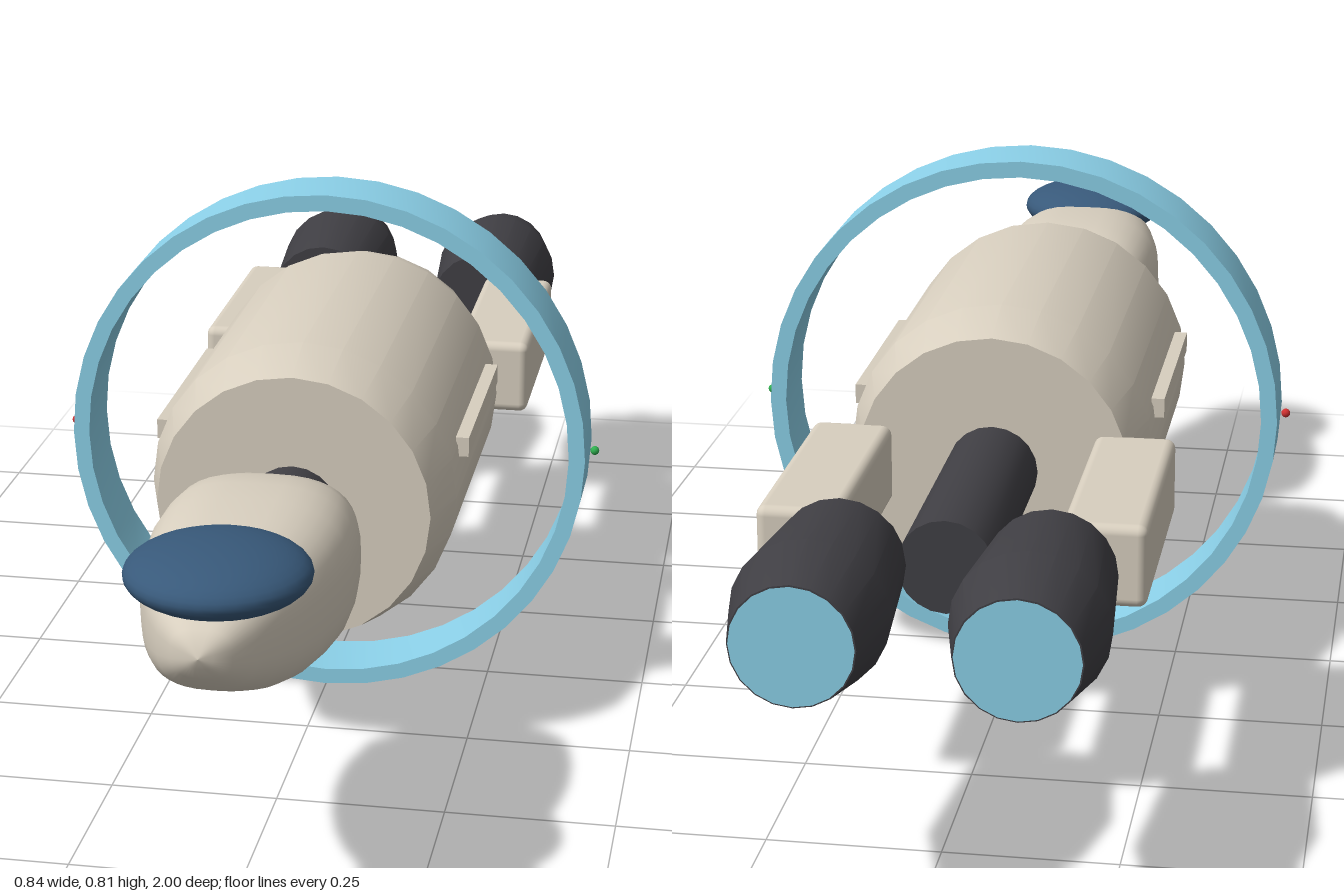
import * as THREE from 'three';
import { toCreasedNormals } from 'three/addons/utils/BufferGeometryUtils.js';
import { RoundedBoxGeometry } from 'three/addons/geometries/RoundedBoxGeometry.js';

const AXIS = 0.408; // height of the ship's long axis

const paint = (color) => new THREE.MeshStandardMaterial({ color });
const hull = paint(0xd8cfbf);
const dark = paint(0x403f44);
const glow = paint(0x8bd0e8);
const glass = paint(0x38597a);
const red = paint(0xd03030);
const green = paint(0x30b050);

function add(parent, name, geometry, material, x = 0, y = AXIS, z = 0) {
  const mesh = new THREE.Mesh(geometry, material);
  mesh.name = name;
  mesh.position.set(x, y, z);
  parent.add(mesh);
  return mesh;
}

// Profile of [radius, z] pairs, from back to front, turned around the z axis
function turned(profile, sides) {
  const points = profile.map(([r, z]) => new THREE.Vector2(r, z));
  const geometry = new THREE.LatheGeometry(points, sides).rotateX(Math.PI / 2);
  return toCreasedNormals(geometry, 0.35);
}

// Rounded-square sections [z, bottom, top, halfWidth], from back to front
function cockpitGeometry() {
  const sections = [
    [0.483, 0.43, 0.43, 0], [0.485, 0.37, 0.495, 0.07], [0.497, 0.35, 0.51, 0.102],
    [0.525, 0.331, 0.525, 0.126], [0.57, 0.317, 0.54, 0.137], [0.62, 0.311, 0.546, 0.142],
    [0.68, 0.313, 0.546, 0.143], [0.74, 0.319, 0.543, 0.136], [0.8, 0.328, 0.537, 0.124],
    [0.86, 0.345, 0.529, 0.107], [0.91, 0.366, 0.517, 0.088], [0.95, 0.388, 0.502, 0.066],
    [0.98, 0.414, 0.483, 0.041], [0.994, 0.434, 0.467, 0.019], [1, 0.45, 0.45, 0],
  ];
  const sides = 40, positions = [], index = [];
  const round = (v) => Math.sign(v) * Math.abs(v) ** 0.72;
  sections.forEach(([z, low, high, half], i) => {
    for (let j = 0; j < sides; j++) {
      const a = (j / sides) * Math.PI * 2;
      positions.push(half * round(Math.cos(a)), (low + high) / 2 + ((high - low) / 2) * round(Math.sin(a)), z);
      if (i === 0) continue;
      const k = (j + 1) % sides, back = (i - 1) * sides, front = i * sides;
      if (i > 1) index.push(back + j, back + k, front + j);
      if (i < sections.length - 1) index.push(back + k, front + k, front + j);
      else index.push(back + j, back + k, front + j);
    }
  });
  // The last band meets in a point, so its doubled triangles are dropped
  index.splice(index.length - sides * 3, 0);
  const geometry = new THREE.BufferGeometry();
  geometry.setAttribute('position', new THREE.Float32BufferAttribute(positions, 3));
  geometry.setIndex(index);
  geometry.computeVertexNormals();
  return geometry;
}

export function createModel() {
  const ship = new THREE.Group();
  ship.name = 'ringShip';

  // Central hull with bevelled ends
  add(ship, 'mainHull', turned([[0, -0.3], [0.205, -0.3], [0.231, -0.21], [0.231, 0.275], [0.205, 0.363], [0, 0.363]], 24), hull);

  // Neck and tail spine
  add(ship, 'neck', turned([[0, 0.34], [0.068, 0.34], [0.068, 0.52], [0, 0.52]], 20), dark);
  add(ship, 'tailSpine', turned([[0, -0.7], [0.068, -0.7], [0.068, -0.28], [0, -0.28]], 20), dark);

  // Cockpit pod and its canopy
  add(ship, 'cockpit', cockpitGeometry(), hull, 0, 0, 0);
  const canopy = add(ship, 'canopy', new THREE.SphereGeometry(1, 32, 20), glass, 0, 0.518, 0.873);
  canopy.scale.set(0.125, 0.044, 0.125);

  // Flat band encircling the hull
  add(ship, 'ring', turned([[0.38, -0.022], [0.405, -0.022], [0.405, 0.09], [0.38, 0.09], [0.38, -0.022]], 40), glow);

  // Paired parts on both sides
  for (const side of [-1, 1]) {
    const group = new THREE.Group();
    group.name = side > 0 ? 'leftSide' : 'rightSide';
    ship.add(group);
    add(group, 'tailBlock', new RoundedBoxGeometry(0.12, 0.12, 0.382, 3, 0.014), hull, side * 0.213, 0.409, -0.477);
    add(group, 'engine', turned([[0, -1], [0.085, -1], [0.108, -0.895], [0.091, -0.695], [0, -0.695]], 20), dark, side * 0.146);
    const exhaust = add(group, 'exhaust', new THREE.CircleGeometry(0.083, 20), glow, side * 0.146, AXIS, -1.001);
    exhaust.rotation.y = Math.PI;
    add(group, 'sideRail', new THREE.BoxGeometry(0.02, 0.03, 0.352), hull, side * 0.23, 0.465, 0.033);
    add(group, 'ringLamp', new THREE.SphereGeometry(0.007, 12, 8), side > 0 ? green : red, side * 0.415, AXIS, 0.034);
  }
  return ship;
}
